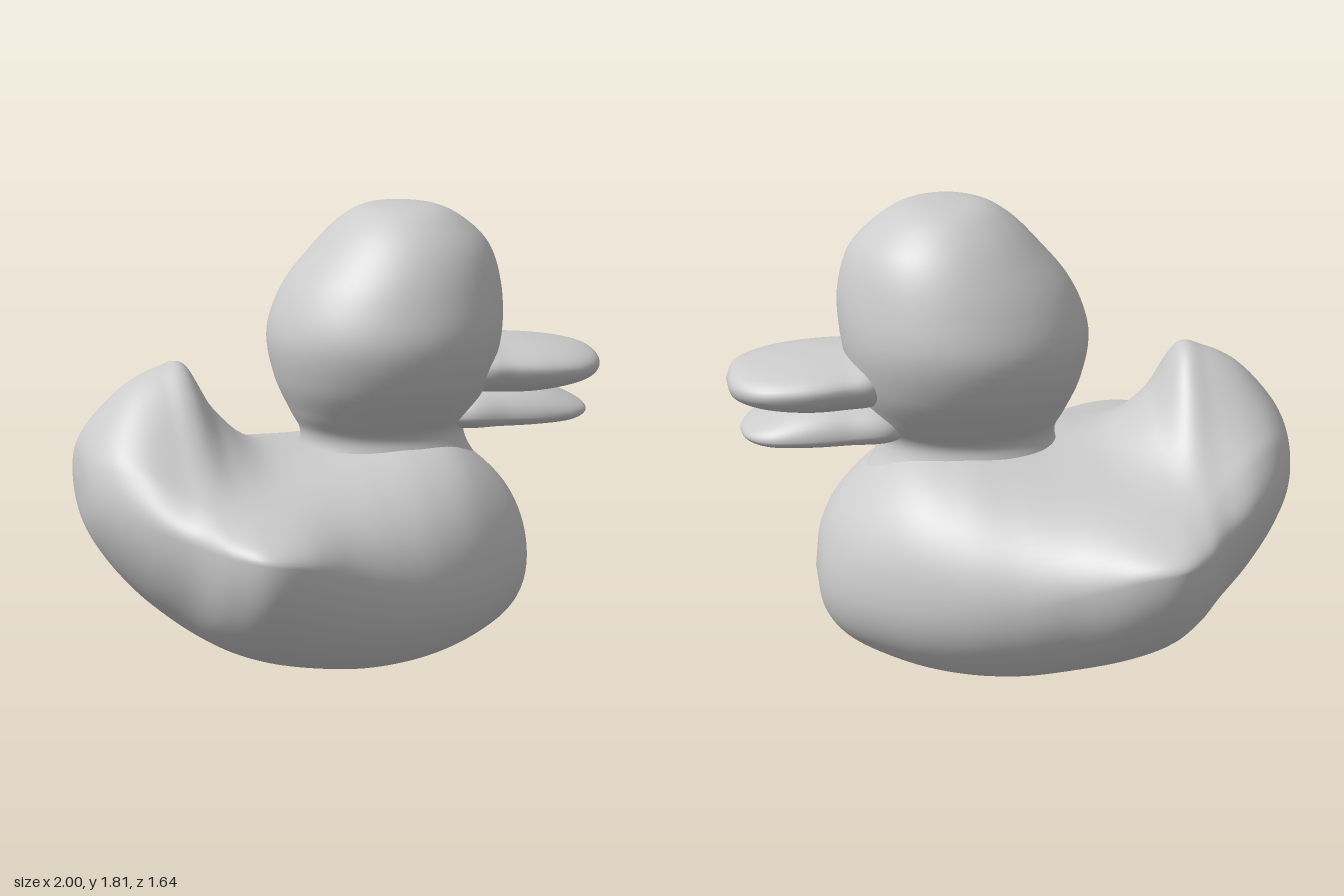
import * as THREE from 'three';
import { mergeVertices } from 'three/addons/utils/BufferGeometryUtils.js';

// Smooth loft: rows of six numbers are splined, and ring(row, angle) gives the points of each section.
function loft(name, rows, ring, material, steps = 64, sides = 64) {
  const spline = (k) => new THREE.CatmullRomCurve3(
    rows.map((r) => new THREE.Vector3(r[k], r[k + 1], r[k + 2])), false, 'catmullrom', 0.5);
  const first = spline(0), second = spline(3);
  const positions = [], index = [];
  for (let i = 0; i <= steps; i++) {
    const row = [...first.getPoint(i / steps).toArray(), ...second.getPoint(i / steps).toArray()];
    for (let j = 0; j < sides; j++) {
      positions.push(...ring(row, (j / sides) * Math.PI * 2));
      if (i === steps) continue;
      const k = (j + 1) % sides;
      const a = i * sides + j, b = a + sides, c = (i + 1) * sides + k, d = i * sides + k;
      index.push(a, b, c, a, c, d);
    }
  }
  let geometry = new THREE.BufferGeometry();
  geometry.setAttribute('position', new THREE.Float32BufferAttribute(positions, 3));
  geometry.setIndex(index);
  geometry = mergeVertices(geometry, 1e-5);
  geometry.computeVertexNormals();
  const mesh = new THREE.Mesh(geometry, material);
  mesh.name = name;
  return mesh;
}

// Upright section: [x, bottom, top, half width, height of widest point, central ridge height]
function sideSection([x, bottom, top, half, mid, ridge], t) {
  const s = Math.sin(t), z = Math.max(half, 0) * Math.cos(t);
  let y = mid + s * (s > 0 ? top - mid : mid - bottom);
  if (s > 0) y += ridge * Math.exp(-((z / 0.32) ** 2)) * Math.min(1, s * 1.6);
  return [x, y, z];
}

// Level section: [height, centre x, half length, half width, brow ridge, unused]
function levelSection([y, centre, a, b, brow], t) {
  const c = Math.cos(t);
  const front = c > 0 ? brow * c ** 16 : 0;
  return [centre + Math.max(a, 0) * c + front, y, Math.max(b, 0) * Math.sin(t)];
}

export function createModel() {
  const material = new THREE.MeshStandardMaterial({ color: 0xcccccc });
  const duck = new THREE.Group();
  duck.name = 'duck';

  // Body with flared wings and an upturned tail
  duck.add(loft('body', [
    [-0.96, 0.83, 0.83, 0, 0.83, 0],
    [-0.94, 0.66, 0.93, 0.2, 0.8, 0.02],
    [-0.87, 0.52, 0.96, 0.34, 0.77, 0.1],
    [-0.76, 0.38, 0.91, 0.48, 0.74, 0.26],
    [-0.64, 0.27, 0.86, 0.61, 0.71, 0.37],
    [-0.54, 0.2, 0.84, 0.76, 0.7, 0.4],
    [-0.43, 0.14, 0.84, 0.85, 0.69, 0.22],
    [-0.28, 0.08, 0.85, 0.84, 0.66, 0.08],
    [-0.08, 0.03, 0.88, 0.75, 0.57, 0.02],
    [0.1, 0.01, 0.91, 0.69, 0.5, 0],
    [0.3, 0.02, 0.93, 0.62, 0.46, 0],
    [0.5, 0.06, 0.9, 0.51, 0.44, 0],
    [0.7, 0.14, 0.75, 0.34, 0.42, 0],
    [0.8, 0.25, 0.59, 0.18, 0.41, 0],
    [0.83, 0.41, 0.41, 0, 0.41, 0],
  ], sideSection, material, 112, 96));

  // Head and neck
  duck.add(loft('head', [
    [0.78, 0.25, 0.4, 0.28, 0, 0],
    [0.88, 0.25, 0.34, 0.235, 0, 0],
    [0.95, 0.25, 0.33, 0.23, 0, 0],
    [1.03, 0.25, 0.37, 0.3, 0, 0],
    [1.16, 0.25, 0.425, 0.4, 0, 0],
    [1.33, 0.255, 0.455, 0.455, 0, 0],
    [1.5, 0.28, 0.42, 0.42, 0.015, 0],
    [1.65, 0.315, 0.335, 0.35, 0.02, 0],
    [1.75, 0.32, 0.24, 0.26, 0.01, 0],
    [1.805, 0.32, 0.14, 0.16, 0, 0],
    [1.82, 0.32, 0, 0, 0, 0],
  ], levelSection, material));

  // Upper and lower halves of the bill
  duck.add(loft('upperBill', [
    [0.42, 1.18, 1.18, 0, 1.18, 0],
    [0.56, 1.08, 1.29, 0.23, 1.19, 0],
    [0.7, 1.06, 1.28, 0.27, 1.19, 0],
    [0.85, 1.06, 1.27, 0.285, 1.18, 0],
    [1.0, 1.08, 1.25, 0.25, 1.17, 0],
    [1.1, 1.11, 1.22, 0.15, 1.17, 0],
    [1.13, 1.17, 1.17, 0, 1.17, 0],
  ], sideSection, material, 48, 48));
  duck.add(loft('lowerBill', [
    [0.38, 1.0, 1.0, 0, 1.0, 0],
    [0.52, 0.93, 1.1, 0.19, 1.0, 0],
    [0.7, 0.925, 1.12, 0.21, 0.99, 0],
    [0.85, 0.925, 1.1, 0.215, 0.985, 0],
    [0.98, 0.93, 1.05, 0.19, 0.98, 0],
    [1.06, 0.95, 1.01, 0.12, 0.98, 0],
    [1.09, 0.98, 0.98, 0, 0.98, 0],
  ], sideSection, material, 48, 48));

  // Turn the duck to its resting angle
  duck.rotation.y = THREE.MathUtils.degToRad(25);
  duck.position.set(-0.066, 0, -0.14);
  const model = new THREE.Group();
  model.add(duck);
  return model;
}
